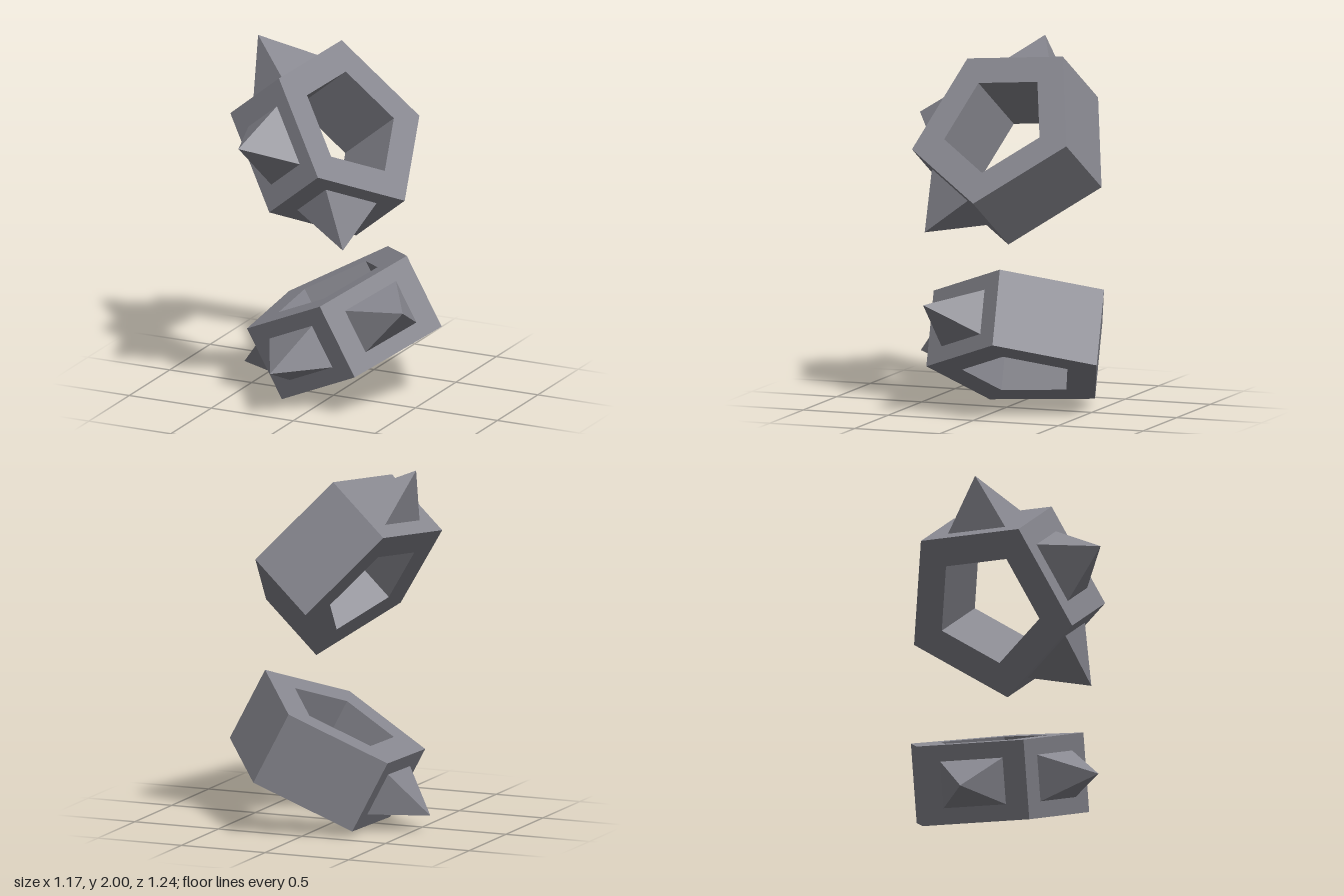
import * as THREE from 'three';

const RADIUS = 0.515;                                   // pentagon corner radius
const HOLE = RADIUS * 0.618;                            // hole corner radius
const DEPTH = 0.437;                                    // ring thickness along its axis
const APOTHEM = RADIUS * Math.cos(Math.PI / 5);

// Regular pentagon with one flat side facing +y
function pentagon(PathType, r) {
  const pts = [];
  for (let i = 0; i < 5; i++) {
    const a = Math.PI / 2 + (0.5 + i) * Math.PI * 2 / 5;
    pts.push(new THREE.Vector2(r * Math.cos(a), r * Math.sin(a)));
  }
  return new PathType(pts);
}

// Pentagonal ring with a pentagonal opening, centred on its own axis (z)
function ringGeometry() {
  const shape = pentagon(THREE.Shape, RADIUS);
  shape.holes.push(pentagon(THREE.Path, HOLE));
  return new THREE.ExtrudeGeometry(shape, { depth: DEPTH, bevelEnabled: false })
    .translate(0, 0, -DEPTH / 2);
}

// Four-sided spike standing on the +y side of the ring
function spikeGeometry() {
  const g = new THREE.ConeGeometry(Math.SQRT1_2, 0.275, 4, 1)
    .rotateY(Math.PI / 4)
    .scale(0.354, 1, 0.256)
    .translate(0, APOTHEM + 0.1375, 0)
    .toNonIndexed();
  g.computeVertexNormals();
  return g;
}

// One spiked ring: axis is the ring's axis, up points to the middle spike
function spikedRing(name, centre, axis, up, material) {
  const group = new THREE.Group();
  group.name = name;
  const ring = new THREE.Mesh(ringGeometry(), material);
  ring.name = 'pentagonRing';
  group.add(ring);
  for (const k of [-1, 0, 1]) {
    const spike = new THREE.Mesh(spikeGeometry(), material);
    spike.name = 'spike';
    spike.rotation.z = k * Math.PI * 2 / 5;
    group.add(spike);
  }
  const z = new THREE.Vector3(...axis).normalize();
  const x = new THREE.Vector3(...up).cross(z).normalize();
  const y = z.clone().cross(x);
  group.quaternion.setFromRotationMatrix(new THREE.Matrix4().makeBasis(x, y, z));
  group.position.set(...centre);
  return group;
}

export function createModel() {
  const grey = new THREE.MeshStandardMaterial({ color: 0x888890 });
  grey.name = 'grey';
  const model = new THREE.Group();
  model.name = 'spikedRings';
  model.add(
    spikedRing('upperRing', [-0.045, 1.464, -0.025], [0.334, 0.271, 0.076], [-0.136, 0.065, 0.389], grey),
    spikedRing('lowerRing', [0.03, 0.406, -0.112], [-0.196, 0.389, 0.034], [-0.087, -0.083, 0.402], grey),
  );
  return model;
}
